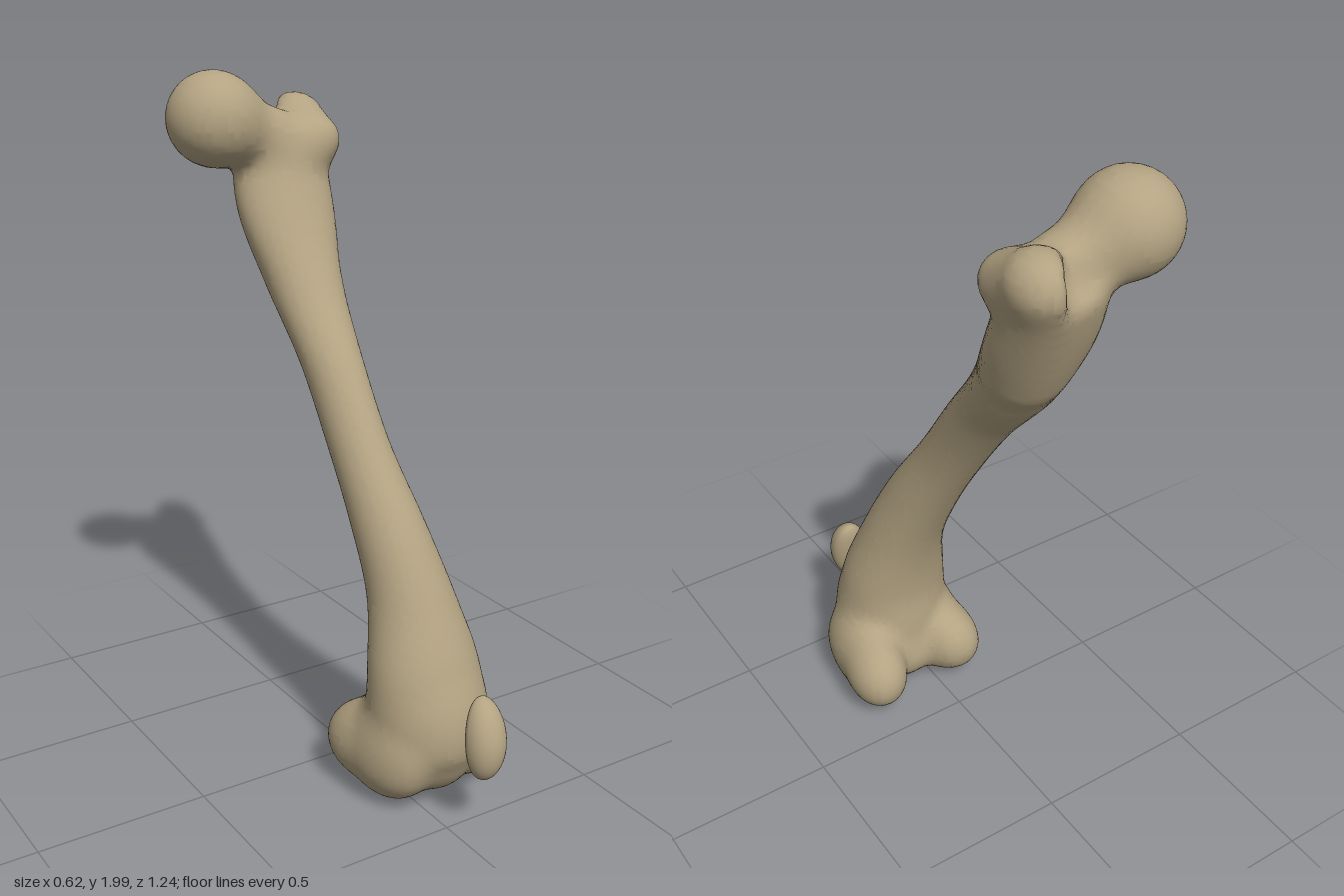
import * as THREE from 'three';

// Horizontal shaft sections every 0.2 up: x min, x max, z back, z front
const SECTIONS = [
  [-0.08, 0.20, 0.20, 0.40], [-0.11, 0.23, 0.14, 0.46], [-0.105, 0.225, 0.145, 0.44],
  [-0.07, 0.18, 0.105, 0.36], [-0.068, 0.135, 0.02, 0.26], [-0.068, 0.10, -0.095, 0.125],
  [-0.07, 0.10, -0.235, -0.01], [-0.09, 0.13, -0.405, -0.16],
  [-0.12, 0.17, -0.51, -0.275], [-0.10, 0.17, -0.57, -0.35],
];

// Smooth union of two distances
function blend(a, b, k) {
  const h = Math.max(k - Math.abs(a - b), 0) / k;
  return Math.min(a, b) - h * h * k / 4;
}

function ellipsoid(x, y, z, c, r) {
  const a = (x - c[0]) / r[0], b = (y - c[1]) / r[1], d = (z - c[2]) / r[2];
  const k0 = Math.hypot(a, b, d), k1 = Math.hypot(a / r[0], b / r[1], d / r[2]);
  return k1 < 1e-6 ? -Math.min(...r) : k0 * (k0 - 1) / k1;
}

// Rod from a to b whose radius runs from ra to rb
function rod(x, y, z, a, b, ra, rb) {
  const d = [b[0] - a[0], b[1] - a[1], b[2] - a[2]];
  const p = [x - a[0], y - a[1], z - a[2]];
  const len2 = d[0] * d[0] + d[1] * d[1] + d[2] * d[2];
  const t = THREE.MathUtils.clamp((p[0] * d[0] + p[1] * d[1] + p[2] * d[2]) / len2, 0, 1);
  return Math.hypot(p[0] - d[0] * t, p[1] - d[1] * t, p[2] - d[2] * t) - ra - (rb - ra) * t;
}

function shaft(x, y, z) {
  const last = SECTIONS.length - 1;
  const f = THREE.MathUtils.clamp(y / 0.2, 0, last);
  const i = Math.min(Math.floor(f), last - 1), t = f - i;
  const row = (n) => SECTIONS[THREE.MathUtils.clamp(n, 0, last)];
  const [x0, x1, z0, z1] = [0, 1, 2, 3].map((c) => {
    const p0 = row(i - 1)[c], p1 = row(i)[c], p2 = row(i + 1)[c], p3 = row(i + 2)[c];
    return p1 + 0.5 * t * (p2 - p0 + t * (2 * p0 - 5 * p1 + 4 * p2 - p3 + t * (3 * (p1 - p2) + p3 - p0)));
  });
  const rx = (x1 - x0) / 2, rz = (z1 - z0) / 2;
  const a = (x - (x0 + x1) / 2) / rx, b = (z - (z0 + z1) / 2) / rz;
  const k0 = Math.hypot(a, b), k1 = Math.hypot(a / rx, b / rz);
  const side = k1 < 1e-6 ? -Math.min(rx, rz) : k0 * (k0 - 1) / k1;
  return -blend(-side, -Math.max(y - 1.78, 0.17 - y), 0.06);
}

// Rounded lumps at the knee end: centre, radii
const KNEE = [
  [[0.07, 0.25, 0.32], [0.155, 0.19, 0.155]],   // front ridge
  [[0.08, 0.135, 0.27], [0.13, 0.12, 0.15]],    // middle
  [[0.20, 0.15, 0.24], [0.095, 0.14, 0.18]],    // left condyle
  [[0.225, 0.14, 0.135], [0.08, 0.095, 0.10]],  // left condyle, rear
  [[-0.04, 0.155, 0.25], [0.105, 0.14, 0.18]],  // right condyle
  [[-0.07, 0.145, 0.15], [0.08, 0.095, 0.10]],  // right condyle, rear
];

function thighBoneField(x, y, z) {
  let d = shaft(x, y, z);
  if (y < 0.65) {
    for (const [c, r] of KNEE) d = blend(d, ellipsoid(x, y, z, c, r), 0.04);
  }
  if (y > 1.3) {
    // trochanter, its front corner, the neck, then the hollow behind them
    d = blend(d, rod(x, y, z, [0.132, 1.83, -0.54], [0.06, 1.5, -0.37], 0.077, 0.08), 0.05);
    d = blend(d, rod(x, y, z, [0.135, 1.83, -0.50], [0.138, 1.79, -0.405], 0.077, 0.068), 0.04);
    d = blend(d, rod(x, y, z, [-0.15, 1.85, -0.44], [0.09, 1.765, -0.43], 0.095, 0.085), 0.05);
    d = -blend(-d, Math.hypot(x - 0.045, y - 1.84, z + 0.59) - 0.065, 0.05);
    d = blend(d, ellipsoid(x, y, z, [-0.175, 1.863, -0.443], [0.135, 0.135, 0.137]), 0.05);
  }
  return d;
}

// Wraps a smooth skin around a field: one vertex per crossed cell, one quad per crossed edge
function skin(field, min, max, step) {
  const n = min.map((m, i) => Math.ceil((max[i] - m) / step) + 1);
  const stride = [1, n[0], n[0] * n[1]];
  const values = new Float32Array(n[0] * n[1] * n[2]);
  const at = (v, i) => min[i] + v * step;
  const eachCell = (fn) => {
    for (let k = 0; k < n[2]; k++)
      for (let j = 0; j < n[1]; j++)
        for (let i = 0; i < n[0]; i++) fn([i, j, k], i + j * stride[1] + k * stride[2]);
  };
  eachCell((c, id) => { values[id] = field(...c.map(at)); });

  const positions = [], index = [], vertexOf = new Map(), e = 0.003;
  eachCell((c, id) => {
    if (c.some((v, i) => v >= n[i] - 1)) return;
    let inside = 0;
    for (let m = 0; m < 8; m++) {
      const corner = id + (m & 1) + (m >> 1 & 1) * stride[1] + (m >> 2) * stride[2];
      if (values[corner] < 0) inside++;
    }
    if (inside === 0 || inside === 8) return;
    // slide the cell centre onto the surface
    const centre = c.map((v, i) => at(v + 0.5, i));
    let p = centre.slice();
    for (let s = 0; s < 4; s++) {
      const d = field(...p);
      const g = [0, 1, 2].map((i) => {
        const a = p.slice(), b = p.slice();
        a[i] += e;
        b[i] -= e;
        return (field(...a) - field(...b)) / (2 * e);
      });
      const g2 = Math.max(g[0] * g[0] + g[1] * g[1] + g[2] * g[2], 0.05);
      p = p.map((v, i) => THREE.MathUtils.clamp(v - d * g[i] / g2, centre[i] - step * 0.7, centre[i] + step * 0.7));
    }
    vertexOf.set(id, positions.length / 3);
    positions.push(...p);
  });

  eachCell((c, id) => {
    for (let a = 0; a < 3; a++) {
      const b = (a + 1) % 3, d = (a + 2) % 3;
      if (c[a] >= n[a] - 1 || c[b] < 1 || c[d] < 1) continue;
      const inA = values[id] < 0, inB = values[id + stride[a]] < 0;
      if (inA === inB) continue;
      const q = [id, id - stride[b], id - stride[b] - stride[d], id - stride[d]].map((v) => vertexOf.get(v));
      if (q.includes(undefined)) continue;
      if (!inA) q.reverse();
      index.push(q[0], q[1], q[2], q[0], q[2], q[3]);
    }
  });

  const geometry = new THREE.BufferGeometry();
  geometry.setAttribute('position', new THREE.Float32BufferAttribute(positions, 3));
  geometry.setIndex(index);
  geometry.computeVertexNormals();
  return geometry;
}

// Bean-shaped kneecap: flatter behind, leaning back at the top
function kneecapGeometry() {
  const geometry = new THREE.SphereGeometry(1, 32, 24);
  const pos = geometry.attributes.position;
  for (let i = 0; i < pos.count; i++) {
    const x = pos.getX(i), y = pos.getY(i), z = pos.getZ(i);
    const depth = z > 0 ? 0.06 : 0.042;
    pos.setXYZ(i, x * 0.059 + y * 0.008, y * 0.115, z * depth - y * 0.018 - y * y * 0.012);
  }
  geometry.computeVertexNormals();
  return geometry;
}

export function createModel() {
  const bone = new THREE.MeshStandardMaterial({ color: 0xb3a382 });
  bone.name = 'bone';

  const model = new THREE.Group();
  model.name = 'thighBoneAndKneecap';

  const thighBone = new THREE.Mesh(skin(thighBoneField, [-0.37, -0.05, -0.69], [0.37, 2.06, 0.55], 0.02), bone);
  thighBone.name = 'thighBone';

  const kneecap = new THREE.Mesh(kneecapGeometry(), bone);
  kneecap.name = 'kneecap';
  kneecap.position.set(0.072, 0.3, 0.565);

  model.add(thighBone, kneecap);
  return model;
}
